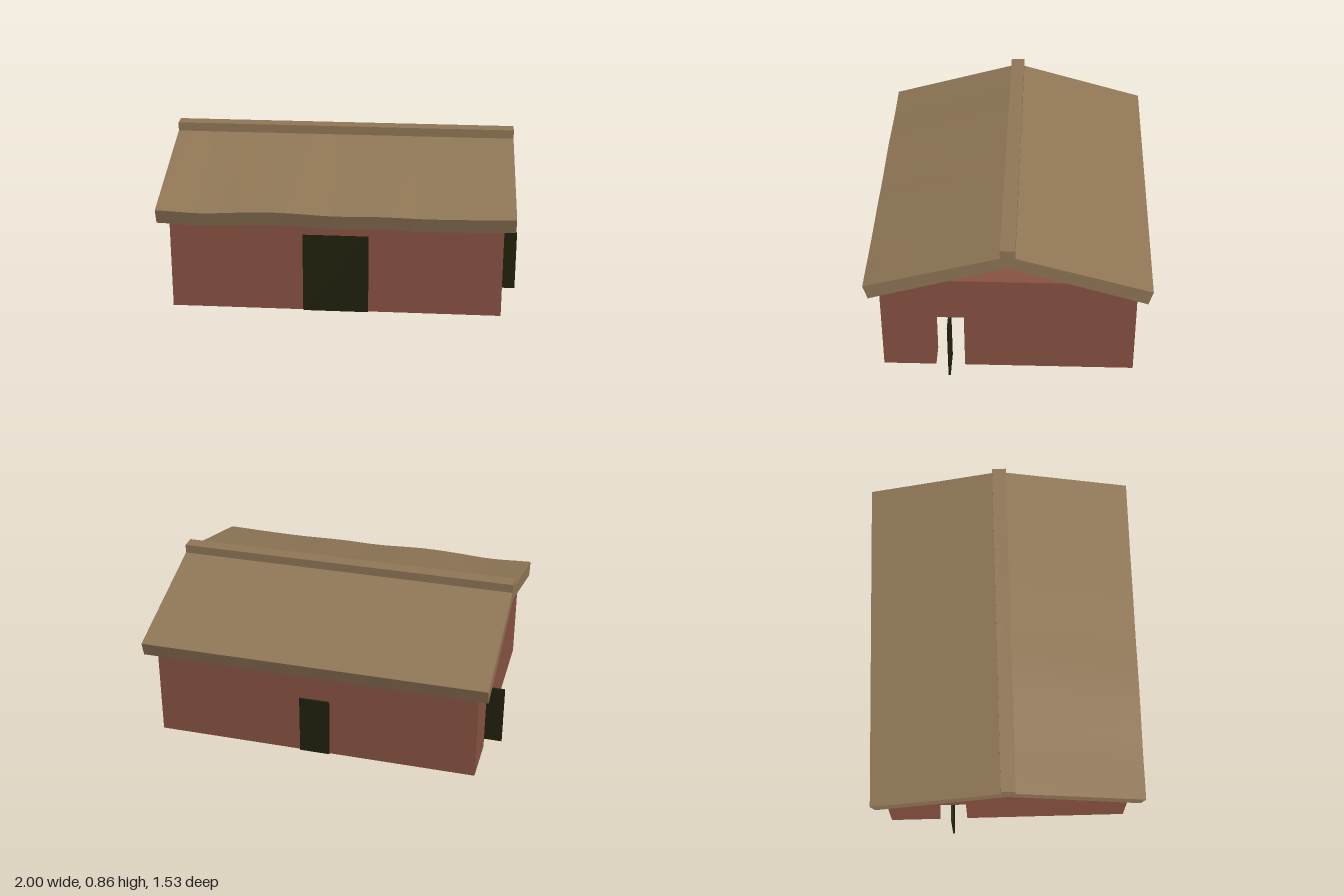
import * as THREE from 'three';

const W = 0.91, D = 0.69, H = 0.6, T = 0.135; // half width, half depth, wall height, thickness
const ROOF = 0.97;

// Wall panel with a doorway cut from its foot; an arch rises above the spring line
function wallGeometry(half, doorX, doorHalf, spring, rise) {
  const s = new THREE.Shape();
  s.moveTo(-half, 0);
  s.lineTo(doorX - doorHalf, 0);
  s.lineTo(doorX - doorHalf, spring);
  if (rise > 0) {
    for (let i = 1; i < 8; i++) {
      const a = Math.PI * (1 - i / 8);
      s.lineTo(doorX + Math.cos(a) * doorHalf, spring + Math.sin(a) * rise);
    }
  }
  s.lineTo(doorX + doorHalf, spring);
  s.lineTo(doorX + doorHalf, 0);
  s.lineTo(half, 0);
  s.lineTo(half, H);
  s.lineTo(-half, H);
  s.closePath();
  return new THREE.ExtrudeGeometry(s, { depth: T, bevelEnabled: false });
}

// Sagging of the front eave along x
const wave = new THREE.SplineCurve([
  [-0.97, 0], [-0.72, -0.01], [-0.5, 0.001], [-0.3, 0.006], [0, -0.006],
  [0.22, -0.002], [0.5, -0.007], [0.75, -0.004], [0.97, 0.002],
].map(([x, y]) => new THREE.Vector2(x, y)));

function waveAt(x) {
  const pts = wave.points;
  let i = 0;
  while (i < pts.length - 2 && x > pts[i + 1].x) i++;
  const t = (x - pts[i].x) / (pts[i + 1].x - pts[i].x);
  return wave.getPoint(THREE.MathUtils.clamp((i + t) / (pts.length - 1), 0, 1)).y;
}

// Sloping slab from the ridge (z = 0) down to the eave
function slabGeometry(wavy) {
  const g = new THREE.BoxGeometry(ROOF * 2, 1, 1, wavy ? 32 : 1, 1, 1);
  const p = g.attributes.position;
  for (let i = 0; i < p.count; i++) {
    const top = p.getY(i) > 0, eave = p.getZ(i) > 0;
    let y = top ? 0.82 : 0.745, z = 0;
    if (eave) {
      y = (top ? 0.6 : 0.518) + (wavy ? waveAt(p.getX(i)) : 0);
      z = top ? 0.767 : 0.743;
    }
    p.setY(i, y);
    p.setZ(i, z);
  }
  g.computeVertexNormals();
  return g;
}

export function createModel() {
  const model = new THREE.Group();
  const brick = new THREE.MeshStandardMaterial({ color: 0x885242 });
  brick.name = 'brick';
  const thatch = new THREE.MeshStandardMaterial({ color: 0x8f7656 });
  thatch.name = 'thatch';
  const darkWood = new THREE.MeshStandardMaterial({ color: 0x21210e });
  darkWood.name = 'darkWood';

  const add = (name, geometry, material, x = 0, y = 0, z = 0, ry = 0) => {
    const m = new THREE.Mesh(geometry, material);
    m.name = name;
    m.position.set(x, y, z);
    m.rotation.y = ry;
    model.add(m);
  };
  const box = (name, w, h, d, material, x, y, z) =>
    add(name, new THREE.BoxGeometry(w, h, d), material, x, y + h / 2, z);

  // Walls, open at the gables
  add('frontWall', wallGeometry(W, 0, 0.18, 0.44, 0.12), brick, 0, 0, D - T);
  add('backWall', wallGeometry(W, 0, 0.08, 0.345, 0), brick, 0, 0, T - D, Math.PI);
  const side = wallGeometry(D - T, -0.32, 0.08, 0.345, 0);
  add('leftWall', side, brick, W - T, 0, 0, Math.PI / 2);
  add('rightWall', side, brick, T - W, 0, 0, -Math.PI / 2);

  // Front door and its lintel
  box('frontDoor', 0.36, 0.457, 0.012, darkWood, 0, 0, 0.694);
  box('lintel', 0.455, 0.06, 0.04, brick, 0, 0.457, 0.685);

  // Back door, and side doors standing open across their doorways
  box('backDoor', 0.17, 0.345, 0.012, darkWood, 0, 0, -0.694);
  for (const s of [1, -1]) {
    box(s > 0 ? 'leftDoor' : 'rightDoor', 0.17, 0.345, 0.012, darkWood, s * 0.915, 0, s * 0.32);
  }

  // Roof
  add('frontRoof', slabGeometry(true), thatch);
  add('backRoof', slabGeometry(false), thatch, 0, 0, 0, Math.PI);
  box('ridgeCap', ROOF * 2, 0.06, 0.08, thatch, 0, 0.798, 0);

  return model;
}
